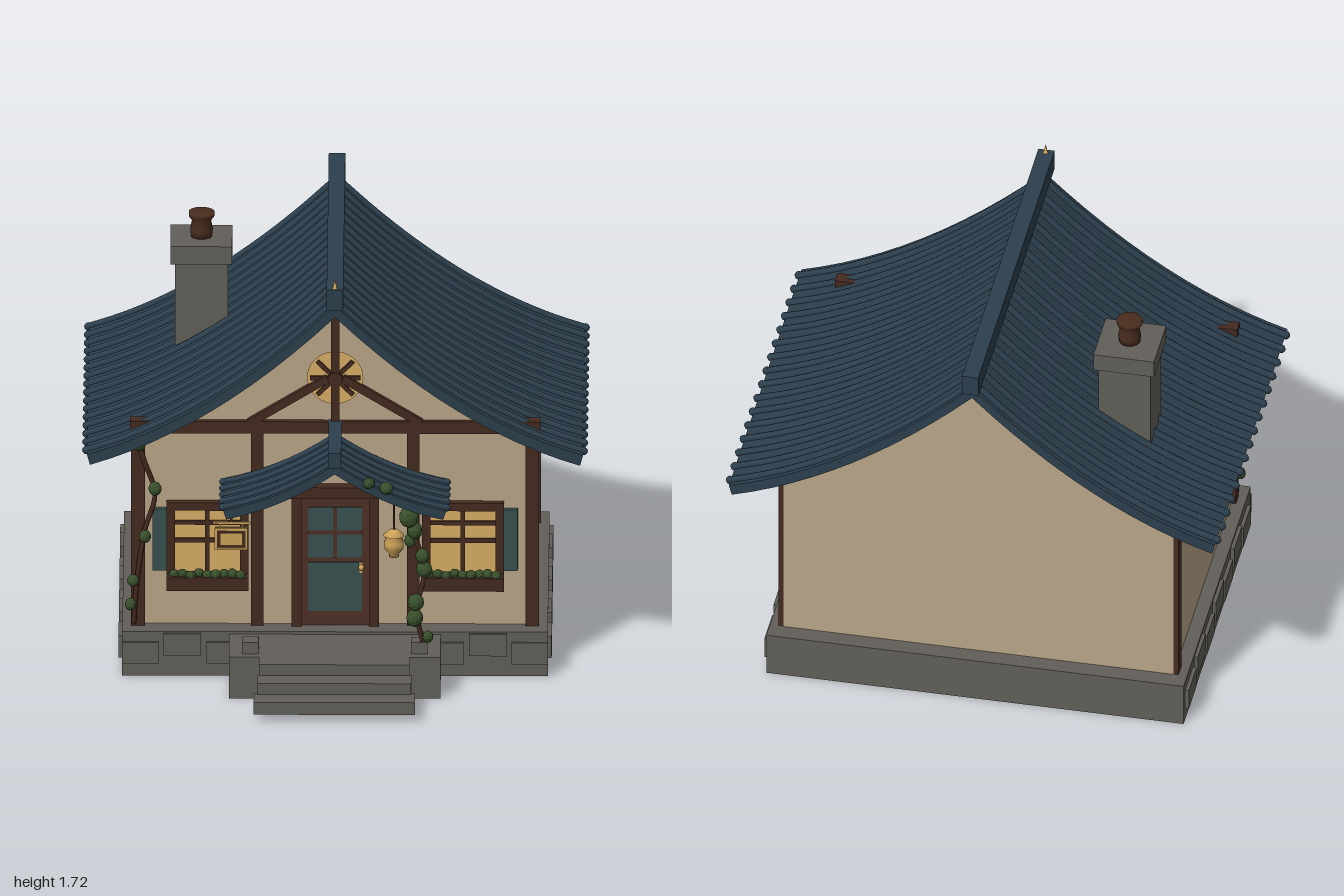
import * as THREE from 'three';

const mat = (name, color) => {
  const m = new THREE.MeshStandardMaterial({ color });
  m.name = name;
  return m;
};

export function createModel() {
  const root = new THREE.Group();
  root.name = 'cottage';
  const plaster = mat('plaster', 0xb9a688), wood = mat('dark timber', 0x452a20);
  const stone = mat('stone', 0x625f59), tile = mat('roof tile', 0x2c3f4d);
  const glow = mat('lit glass', 0xd8ad66), gold = mat('brass', 0xcda358);
  const leafMat = mat('leaf', 0x384f2b), teal = mat('teal paint', 0x38514f);
  const doorWood = mat('door wood', 0x4e3025), clay = mat('clay', 0x4a2c1f);

  const add = (name, geo, material, x = 0, y = 0, z = 0, parent = root) => {
    const m = new THREE.Mesh(geo, material);
    m.name = name;
    m.position.set(x, y, z);
    parent.add(m);
    return m;
  };
  // box given by its limits on each axis
  const box = (name, material, x0, x1, y0, y1, z0, z1, parent = root) =>
    add(name, new THREE.BoxGeometry(x1 - x0, y1 - y0, z1 - z0), material,
      (x0 + x1) / 2, (y0 + y1) / 2, (z0 + z1) / 2, parent);
  // sloping timber in a plane facing the front
  const beam = (name, material, x0, y0, x1, y1, w, z0, z1, parent = root) => {
    const m = add(name, new THREE.BoxGeometry(Math.hypot(x1 - x0, y1 - y0), w, z1 - z0), material,
      (x0 + x1) / 2, (y0 + y1) / 2, (z0 + z1) / 2, parent);
    m.rotation.z = Math.atan2(y1 - y0, x1 - x0);
    return m;
  };
  const group = (name) => {
    const g = new THREE.Group();
    g.name = name;
    root.add(g);
    return g;
  };
  const extrude = (pts, z0, z1) => {
    const shape = new THREE.Shape(pts.map(([x, y]) => new THREE.Vector2(x, y)));
    return new THREE.ExtrudeGeometry(shape, { depth: z1 - z0, bevelEnabled: false }).translate(0, 0, z0);
  };
  // points along a concave two-sided roof line
  const roofLine = (f, half, n = 24) =>
    Array.from({ length: n + 1 }, (_, i) => {
      const x = -half + (2 * half * i) / n;
      return [x, f(Math.abs(x))];
    });

  const mainLine = (x) => 1.59 - 0.989 * x + 0.352 * x * x;
  const porchLine = (x) => 1.0 - 0.682 * x + 0.55 * x * x;

  // ---- stone base, porch and steps
  const base = group('stoneBase');
  box('foundation', stone, -0.845, 0.845, 0, 0.187, -0.882, 0.457, base);
  box('porchFloor', stone, -0.42, 0.42, 0, 0.176, 0.45, 0.71, base);
  box('topStep', stone, -0.3, 0.3, 0.13, 0.178, 0.7, 0.8, base);
  box('middleStep', stone, -0.305, 0.305, 0.08, 0.132, 0.79, 0.89, base);
  box('bottomStep', stone, -0.32, 0.32, 0.034, 0.086, 0.875, 0.98, base);
  for (const s of [-1, 1]) {
    box('postPlinth', stone, s * 0.335 - 0.033, s * 0.335 + 0.033, 0.17, 0.225, 0.613, 0.675, base);
    for (let i = 0; i < 7; i++) {
      const y = i % 2 ? 0.13 : 0.098;
      add('sideBlock', new THREE.BoxGeometry(0.02, 0.092, 0.155), stone, s * 0.85, y, 0.315 - i * 0.181, base);
    }
    [[0.773, 0.098, 0.145], [0.607, 0.134, 0.15], [0.46, 0.098, 0.1]].forEach(([x, y, w]) =>
      add('frontBlock', new THREE.BoxGeometry(w, 0.092, 0.02), stone, s * x, y, 0.457, base));
  }

  // ---- plaster walls with both gables
  const wallTop = roofLine((x) => mainLine(x) - 0.02, 0.79);
  add('walls', extrude([[-0.79, 0.18], [0.79, 0.18], ...wallTop.reverse()], -0.812, 0.365), plaster);

  // ---- timber frame
  const frame = group('timberFrame');
  box('crossBeam', wood, -0.815, 0.815, 1.003, 1.053, 0.335, 0.388, frame);
  box('kingPost', wood, -0.017, 0.017, 1.04, 1.57, 0.36, 0.392, frame);
  for (const s of [-1, 1]) {
    for (const z of [0.335, -0.81])
      add('cornerPost', new THREE.BoxGeometry(0.055, 0.83, 0.055), wood, s * 0.7825, 0.602, z + 0.0275, frame);
    add('wallStud', new THREE.BoxGeometry(0.05, 0.83, 0.04), wood, s * 0.31, 0.602, 0.368, frame);
    beam('gableBrace', wood, s * 0.34, 1.045, s * 0.03, 1.235, 0.032, 0.36, 0.387, frame);
    beam('porchBrace', wood, s * 0.325, 0.7, s * 0.22, 0.83, 0.032, 0.37, 0.4, frame);
  }

  // ---- round gable window
  const rose = group('roundWindow');
  add('roundGlass', new THREE.CircleGeometry(0.112, 24), glow, 0, 1.235, 0.372, rose);
  for (let i = 0; i < 4; i++) {
    const spoke = add('spoke', new THREE.BoxGeometry(0.2, 0.017, 0.014), wood, 0, 1.235, 0.376, rose);
    spoke.rotation.z = (i * Math.PI) / 4;
  }
  add('hub', new THREE.CylinderGeometry(0.03, 0.03, 0.03, 12).rotateX(Math.PI / 2), wood, 0, 1.235, 0.382, rose);

  // ---- tiled roofs: curved slab, rows of rolls, ridge cap
  function roof(name, f, half, thick, z0, z1, ribZ, ribR) {
    const g = group(name);
    const top = roofLine(f, half);
    const under = roofLine((x) => f(x) - thick, half - 0.012);
    add('slab', extrude([...under, ...top.reverse()], z0, z1), tile, 0, 0, 0, g);
    for (const s of [-1, 1]) {
      const pts = Array.from({ length: 9 }, (_, i) => {
        const x = 0.015 + ((half + 0.002 - 0.015) * i) / 8;
        return new THREE.Vector3(s * x, f(x) + 0.003, 0);
      });
      const tube = new THREE.TubeGeometry(new THREE.CatmullRomCurve3(pts), 24, ribR, 8);
      const end = new THREE.SphereGeometry(ribR * 1.15, 8, 6);
      for (const z of ribZ) {
        add('tileRoll', tube, tile, 0, 0, z, g);
        add('rollEnd', end, tile, pts[8].x, pts[8].y, z, g);
      }
    }
    return g;
  }
  const mainRoof = roof('mainRoof', mainLine, 0.985, 0.048, -0.942, 0.505,
    Array.from({ length: 16 }, (_, i) => 0.462 - i * 0.0914), 0.015);
  box('ridgeCap', tile, -0.033, 0.033, 1.585, 1.673, -0.978, 0.545, mainRoof);
  const porchRoof = roof('porchRoof', porchLine, 0.443, 0.04, 0.37, 0.73,
    [0.7, 0.629, 0.558, 0.487, 0.416], 0.013);
  box('porchRidgeCap', tile, -0.026, 0.026, 0.99, 1.055, 0.37, 0.745, porchRoof);
  const finial = [[0, 0], [0.018, 0], [0.018, 0.012], [0.01, 0.02], [0.016, 0.032], [0.008, 0.045], [0, 0.082]];
  add('finial', new THREE.LatheGeometry(finial.map((p) => new THREE.Vector2(...p)), 10), gold, 0, 1.633, 0.527);

  // ---- chimney
  const chimney = group('chimney');
  box('shaft', stone, -0.64, -0.43, 0.98, 1.46, -0.535, -0.325, chimney);
  box('cap', stone, -0.658, -0.413, 1.455, 1.53, -0.552, -0.308, chimney);
  const pot = [[0, 0], [0.042, 0], [0.046, 0.03], [0.038, 0.07], [0.052, 0.09], [0.052, 0.105], [0, 0.105]];
  add('pot', new THREE.LatheGeometry(pot.map((p) => new THREE.Vector2(...p)), 14), clay, -0.535, 1.528, -0.43, chimney);

  // ---- door
  const door = group('door');
  box('lintel', wood, -0.19, 0.19, 0.735, 0.783, 0.36, 0.415, door);
  for (const s of [-1, 1])
    add('jamb', new THREE.BoxGeometry(0.04, 0.56, 0.045), wood, s * 0.154, 0.46, 0.3775, door);
  box('leaf', doorWood, -0.136, 0.136, 0.18, 0.738, 0.36, 0.382, door);
  box('upperPane', teal, -0.107, 0.107, 0.475, 0.688, 0.38, 0.386, door);
  box('lowerPanel', teal, -0.107, 0.107, 0.248, 0.455, 0.38, 0.386, door);
  box('paneBarUpright', doorWood, -0.008, 0.008, 0.475, 0.688, 0.382, 0.39, door);
  box('paneBarLevel', doorWood, -0.107, 0.107, 0.575, 0.591, 0.382, 0.39, door);
  box('handlePlate', gold, 0.097, 0.111, 0.41, 0.455, 0.38, 0.388, door);
  add('handle', new THREE.SphereGeometry(0.012, 10, 8), gold, 0.104, 0.437, 0.397, door);

  // ---- faceted foliage
  const tuft = new THREE.IcosahedronGeometry(1, 1);
  tuft.computeVertexNormals();
  const leaf = (x, y, z, r, parent) => {
    const m = add('leafClump', tuft, leafMat, x, y, z, parent);
    m.scale.set(r, r * 1.05, r * 0.9);
    m.rotation.set(x * 9, y * 7, 0);
  };

  // ---- windows with shutters and flower boxes
  for (const s of [-1, 1]) {
    const w = group(s < 0 ? 'rightWindow' : 'leftWindow'), c = s * 0.507;
    box('glass', glow, c - 0.14, c + 0.14, 0.4, 0.69, 0.362, 0.37, w);
    for (const e of [-1, 1])
      add('frameSide', new THREE.BoxGeometry(0.034, 0.34, 0.035), wood, c + e * 0.146, 0.54, 0.3775, w);
    box('frameTop', wood, c - 0.163, c + 0.163, 0.677, 0.71, 0.36, 0.396, w);
    box('mullion', wood, c - 0.009, c + 0.009, 0.4, 0.68, 0.364, 0.382, w);
    for (const y of [0.62, 0.545])
      add('glazingBar', new THREE.BoxGeometry(0.27, 0.016, 0.016), wood, c, y, 0.374, w);
    box('flowerBox', wood, c - 0.163, c + 0.163, 0.355, 0.41, 0.36, 0.448, w);
    for (let i = 0; i < 9; i++)
      leaf(c - 0.132 + i * 0.033, 0.414 + (i % 2) * 0.005, 0.412 + (i % 3) * 0.008, 0.021, w);
    add('shutter', new THREE.BoxGeometry(0.056, 0.26, 0.022), teal, s * 0.697, 0.55, 0.376, w);
  }

  // ---- hanging sign below the porch eave
  const sign = group('hangingSign');
  box('bracketBar', gold, -0.485, -0.335, 0.715, 0.724, 0.635, 0.645, sign);
  box('board', wood, -0.472, -0.35, 0.61, 0.698, 0.632, 0.648, sign);
  for (const z of [0.631, 0.649]) {
    for (const y of [0.613, 0.695]) add('signRim', new THREE.BoxGeometry(0.13, 0.009, 0.008), gold, -0.411, y, z, sign);
    for (const x of [-0.472, -0.35]) add('signRim', new THREE.BoxGeometry(0.009, 0.09, 0.008), gold, x, 0.654, z, sign);
    add('signPanel', new THREE.BoxGeometry(0.085, 0.05, 0.006), gold, -0.411, 0.654, z, sign);
  }
  for (const x of [-0.455, -0.367])
    add('signLink', new THREE.BoxGeometry(0.006, 0.025, 0.006), gold, x, 0.706, 0.64, sign);
  box('signHanger', wood, -0.415, -0.407, 0.72, 0.79, 0.636, 0.644, sign);

  // ---- porch lantern
  const lantern = group('lantern');
  const lamp = [[0, 0], [0.02, 0], [0.02, 0.014], [0.038, 0.035], [0.04, 0.06], [0.03, 0.085], [0.042, 0.09], [0.018, 0.112], [0, 0.115]];
  add('lanternBody', new THREE.LatheGeometry(lamp.map((p) => new THREE.Vector2(...p)), 14), gold, 0.235, 0.59, 0.67, lantern);
  add('lanternCord', new THREE.CylinderGeometry(0.004, 0.004, 0.16, 6), wood, 0.235, 0.78, 0.67, lantern);

  // ---- climbing vines: stem plus leaf clumps
  const vine = (name, stem, leaves) => {
    const g = group(name);
    const curve = new THREE.CatmullRomCurve3(stem.map((p) => new THREE.Vector3(...p)));
    add('stem', new THREE.TubeGeometry(curve, 30, 0.011, 6), wood, 0, 0, 0, g);
    leaves.forEach((l) => leaf(...l, g));
  };
  vine('porchVine',
    [[0.355, 0.2, 0.66], [0.325, 0.36, 0.665], [0.355, 0.52, 0.655], [0.31, 0.7, 0.655], [0.28, 0.83, 0.66]],
    [[0.37, 0.245, 0.66, 0.024], [0.318, 0.335, 0.685, 0.036], [0.322, 0.4, 0.685, 0.034], [0.355, 0.54, 0.682, 0.034],
      [0.348, 0.595, 0.68, 0.03], [0.3, 0.645, 0.636, 0.028], [0.318, 0.69, 0.645, 0.034], [0.295, 0.76, 0.675, 0.043],
      [0.135, 0.92, 0.725, 0.025], [0.205, 0.9, 0.725, 0.028]]);
  vine('cornerVine',
    [[-0.8, 0.2, 0.4], [-0.785, 0.4, 0.405], [-0.755, 0.6, 0.405], [-0.715, 0.75, 0.4], [-0.76, 0.9, 0.405],
      [-0.78, 1.0, 0.4], [-0.66, 1.06, 0.4]],
    [[-0.812, 0.285, 0.41, 0.025], [-0.802, 0.388, 0.415, 0.025], [-0.755, 0.575, 0.415, 0.026],
      [-0.715, 0.778, 0.415, 0.028], [-0.78, 0.97, 0.415, 0.03], [-0.695, 1.035, 0.41, 0.024], [-0.64, 1.07, 0.4, 0.026]]);

  return root;
}
